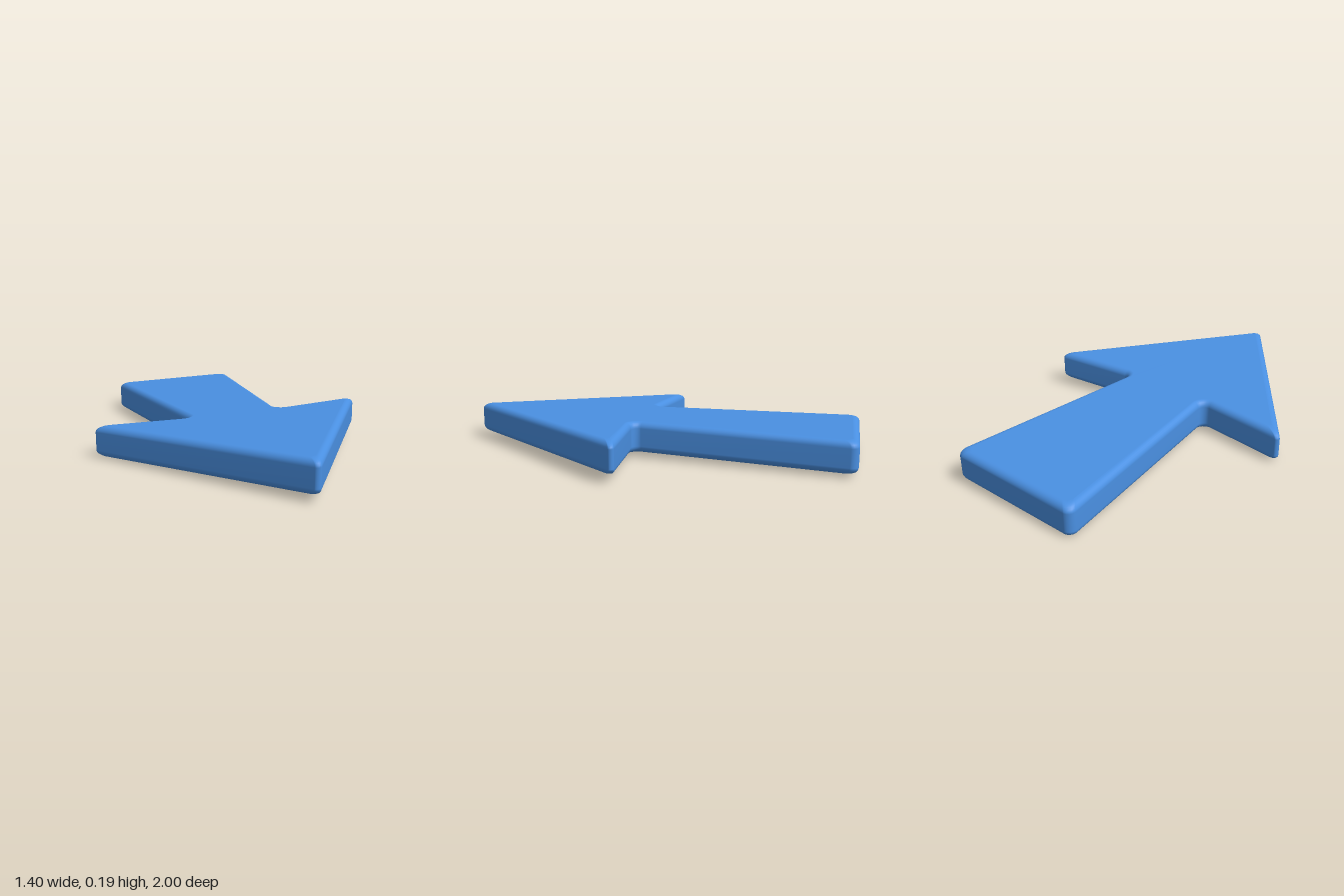
import * as THREE from 'three';

const THICK = 0.155, BEVEL = 0.033, ARC = 6, ROUND = 6;

// Arrow corners [x, z, corner radius, inner corner?]
const half = [
  [0.718, 0.022, 0.015, false], // wing tip
  [0.236, 0.077, 0.035, true],  // notch
  [0.353, -1.0, 0.035, false],  // tail corner
];
const mirrored = half.map(([x, z, r, inner]) => [-x, z, r, inner]);
const corners = [half[0], [0, 1.014, 0.02, false], ...mirrored, half[2], half[1]];

// Arrow outline moved inward by d, with rounded corners
function outline(d) {
  const pts = [];
  corners.forEach(([x, z, radius, inner], i) => {
    const n = corners.length;
    const p = new THREE.Vector2(x, z);
    const toward = ([ax, az]) => new THREE.Vector2(ax, az).sub(p).normalize();
    const u = toward(corners[(i + n - 1) % n]);
    const v = toward(corners[(i + 1) % n]);
    const h = Math.acos(u.dot(v)) / 2;
    const b = u.clone().add(v).normalize();
    const q = p.clone().addScaledVector(b, (inner ? -d : d) / Math.sin(h));
    const r = inner ? radius + d : radius;
    const centre = q.clone().addScaledVector(b, r / Math.sin(h));
    const from = q.clone().addScaledVector(u, r / Math.tan(h)).sub(centre);
    const to = q.clone().addScaledVector(v, r / Math.tan(h)).sub(centre);
    for (let k = 0; k <= ARC; k++) {
      pts.push(from.clone().lerp(to, k / ARC).setLength(r).add(centre));
    }
  });
  return pts;
}

// Stacked outlines with a quarter-round at the lower and upper edges
function arrowGeometry() {
  const rings = [];
  for (let k = 0; k <= ROUND; k++) {
    const a = (k / ROUND) * Math.PI / 2;
    rings.push([BEVEL * (1 - Math.sin(a)), BEVEL * (1 - Math.cos(a))]);
  }
  for (let k = ROUND; k >= 0; k--) rings.push([rings[k][0], THICK - rings[k][1]]);

  const pos = [], index = [];
  const count = corners.length * (ARC + 1);
  rings.forEach(([inset, y], j) => {
    for (const p of outline(inset)) {
      // the whole arrow leans a little to one side and to the back
      pos.push(p.x, y + 0.019 + 0.0235 * p.x + 0.0115 * p.y, p.y);
    }
    if (j === 0) return;
    for (let i = 0; i < count; i++) {
      const a = (j - 1) * count + i, b = (j - 1) * count + (i + 1) % count;
      index.push(a, a + count, b, b, a + count, b + count);
    }
  });

  // flat underside and top
  const top = (rings.length - 1) * count;
  for (const [a, b, c] of THREE.ShapeUtils.triangulateShape(outline(BEVEL), [])) {
    index.push(a, b, c, top + a, top + c, top + b);
  }

  const geo = new THREE.BufferGeometry();
  geo.setAttribute('position', new THREE.Float32BufferAttribute(pos, 3));
  geo.setIndex(index);
  geo.computeVertexNormals();
  return geo;
}

export function createModel() {
  const group = new THREE.Group();
  group.name = 'arrow';
  const body = new THREE.Mesh(arrowGeometry(), new THREE.MeshStandardMaterial({ color: 0x4a90e2 }));
  body.name = 'arrowBody';
  group.add(body);
  return group;
}
